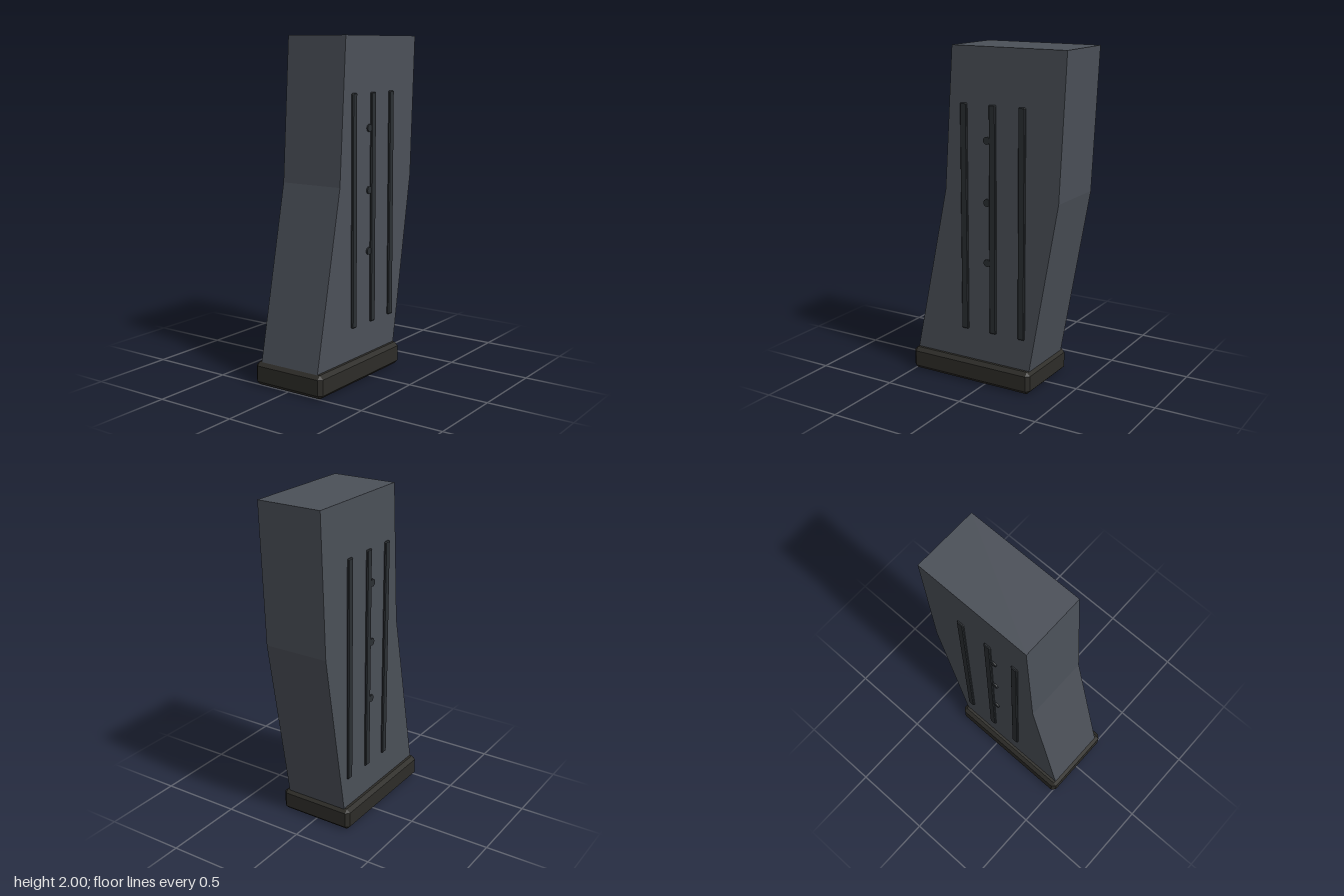
import * as THREE from 'three';
import { ConvexGeometry } from 'three/addons/geometries/ConvexGeometry.js';

const material = (color) => new THREE.MeshStandardMaterial({ color, flatShading: true });

// Box with every edge cut by a flat chamfer c
function chamferBox(w, h, d, c) {
  const points = [];
  for (const sx of [-1, 1]) for (const sy of [-1, 1]) for (const sz of [-1, 1]) {
    for (let full = 0; full < 3; full++) {
      const p = [w, h, d].map((size, i) => size / 2 - (i === full ? 0 : c));
      points.push(new THREE.Vector3(sx * p[0], sy * p[1], sz * p[2]));
    }
  }
  return new ConvexGeometry(points);
}

export function createModel() {
  const group = new THREE.Group();
  const bodyMaterial = material(0x4b5058);
  const ribMaterial = material(0x2b2f33);
  const baseMaterial = material(0x2d2c28);

  const add = (name, geometry, mat, x, y, z) => {
    const mesh = new THREE.Mesh(geometry, mat);
    mesh.name = name;
    mesh.position.set(x, y, z);
    group.add(mesh);
    return mesh;
  };

  // Bent casing: side profile (z, y) extruded across the width
  const profile = [[0.5, 0.1], [0.276, 1.16], [0.22, 2], [-0.51, 2], [-0.47, 1.16], [-0.284, 0.1]];
  const shape = new THREE.Shape(profile.map(([z, y]) => new THREE.Vector2(-z, y)));
  const casing = new THREE.ExtrudeGeometry(shape, { depth: 0.4, bevelEnabled: false });
  casing.translate(0, 0, -0.2).rotateY(Math.PI / 2);
  add('casing', casing, bodyMaterial, 0, 0, 0);

  // Chamfered floor plate
  add('basePlate', chamferBox(0.476, 0.137, 0.82, 0.022), baseMaterial, 0, 0.0685, 0.103);

  // Raised ribs and round studs on both sides
  const rib = chamferBox(0.024, 1.355, 0.044, 0.005);
  const stud = new THREE.CylinderGeometry(0.022, 0.022, 0.02, 16).rotateZ(Math.PI / 2);
  for (const [side, s] of [['left', 1], ['right', -1]]) {
    for (const z of [0.143, -0.048, -0.239]) add(side + 'Rib', rib, ribMaterial, s * 0.2, 1.002, z);
    for (const y of [0.755, 1.115, 1.475]) add(side + 'Stud', stud, ribMaterial, s * 0.199, y, -0.01);
  }
  return group;
}
